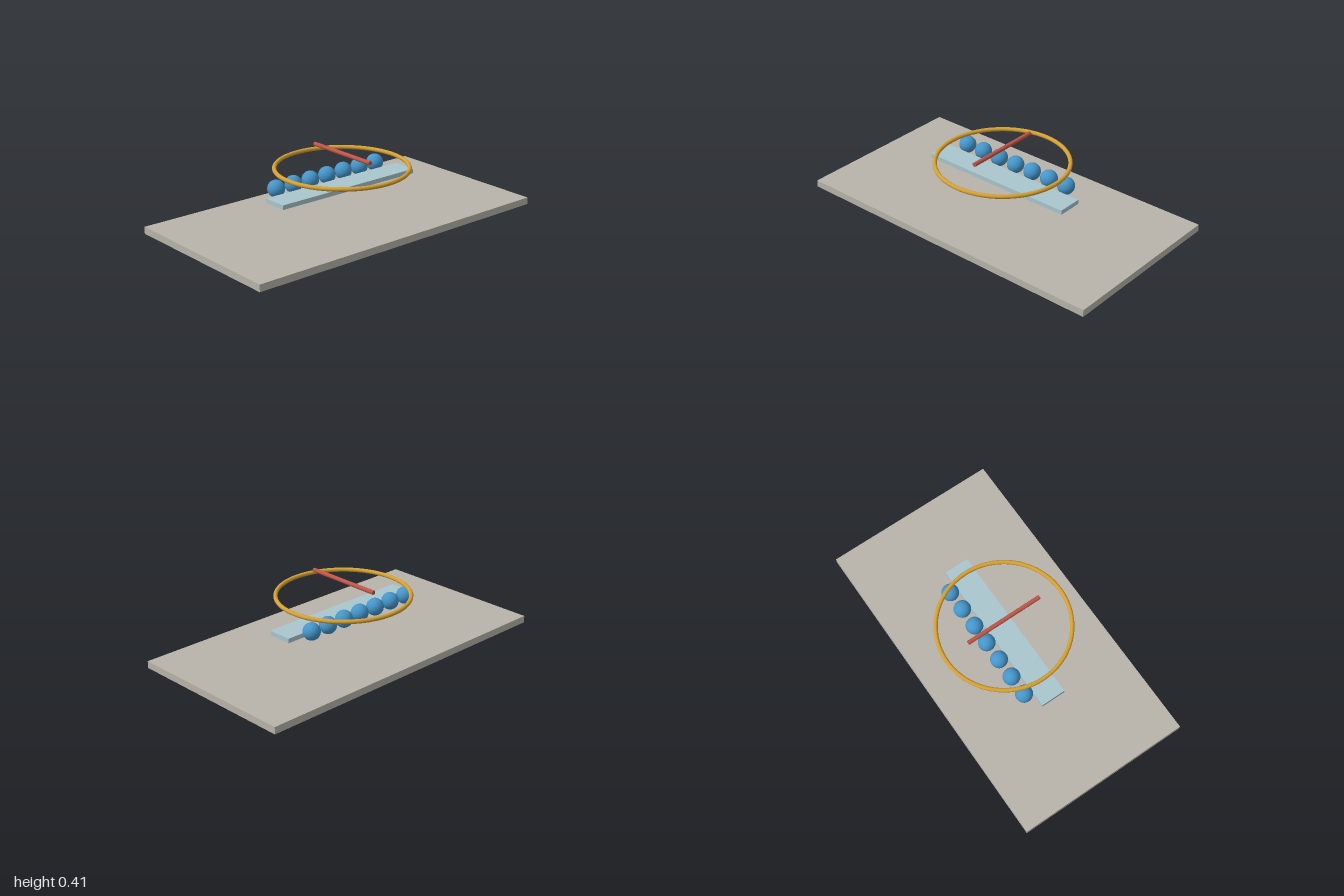
import * as THREE from 'three';

const paint = (name, color) => {
  const m = new THREE.MeshStandardMaterial({ color });
  m.name = name;
  return m;
};

export function createModel() {
  const model = new THREE.Group();
  model.name = 'model';

  const stone = paint('warm grey', 0xb8b4aa);
  const glass = paint('pale blue', 0xaac6ce);
  const blue = paint('blue', 0x4596cb);
  const gold = paint('gold', 0xd4a033);
  const red = paint('red', 0xbf5546);

  const add = (name, geometry, material, x, y, z, parent = model) => {
    const mesh = new THREE.Mesh(geometry, material);
    mesh.name = name;
    mesh.position.set(x, y, z);
    parent.add(mesh);
    return mesh;
  };

  // Ground slab
  add('base', new THREE.BoxGeometry(2, 0.042, 1.068), stone, 0, 0.021, 0);

  // Floating tray
  add('tray', new THREE.BoxGeometry(0.98, 0.027, 0.152), glass, 0, 0.203, 0);

  // Row of balls behind the tray
  const balls = new THREE.Group();
  balls.name = 'balls';
  model.add(balls);
  const ballShape = new THREE.SphereGeometry(0.051, 32, 20);
  for (let i = 0; i < 7; i++) {
    add(`ball${i + 1}`, ballShape, blue, -0.38 + i * 0.124, 0.237, -0.125, balls);
  }

  // Flat ring above the balls
  add('ring', new THREE.TorusGeometry(0.387, 0.0125, 16, 96), gold, 0, 0.313, 0)
    .rotation.x = Math.PI / 2;

  // Rod running front to back over the ring
  add('rod', new THREE.CylinderGeometry(0.0125, 0.0125, 0.484, 24), red, 0, 0.396, 0)
    .rotation.x = Math.PI / 2;

  return model;
}
